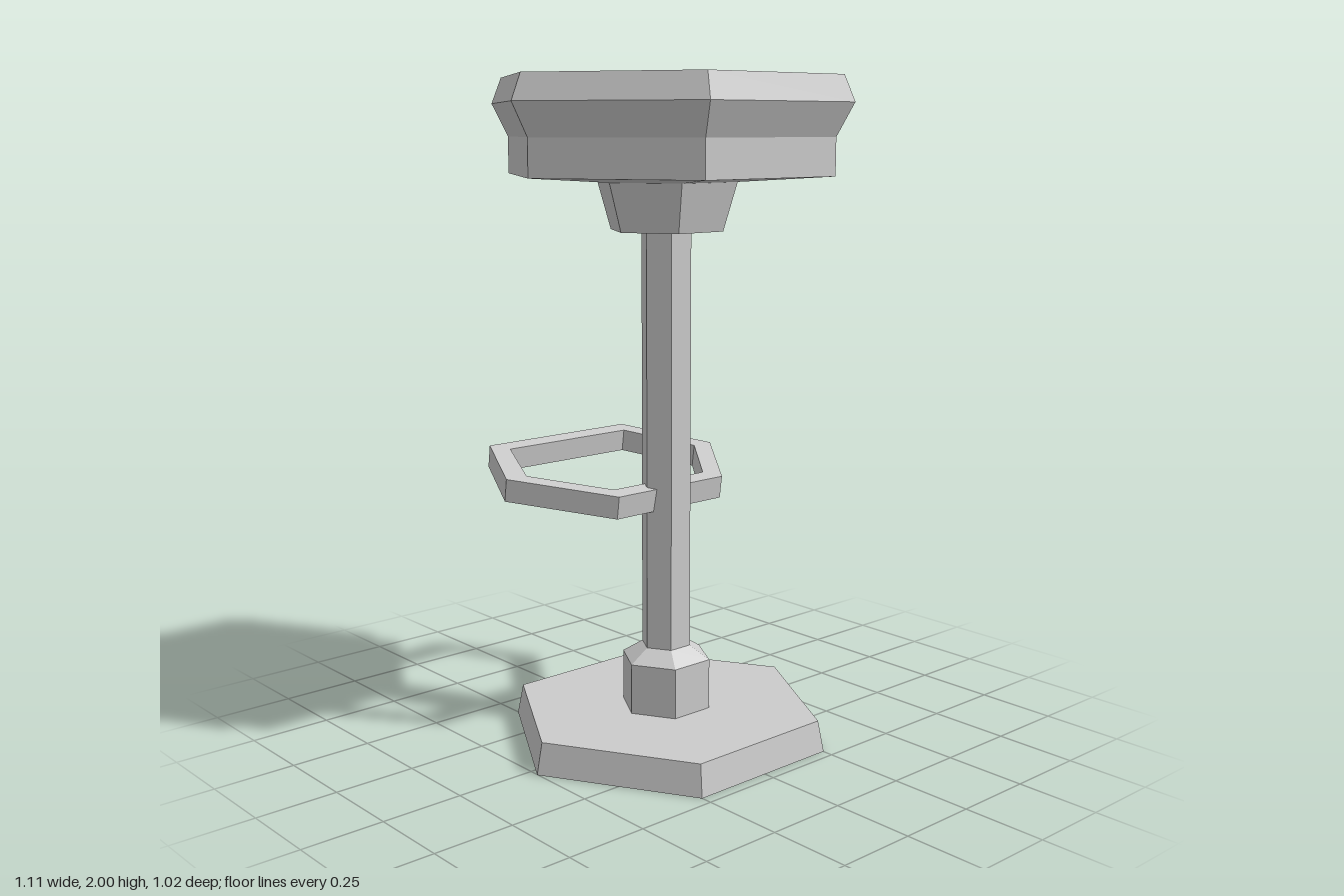
import * as THREE from 'three';

const material = new THREE.MeshStandardMaterial({ color: 0xcccccc, flatShading: true });
const AXIS_Z = 0.032; // the column stands slightly forward of the footrest

// Six-sided turned part from [radius, height] pairs, bottom to top, corners on +-x
function hexPart(name, profile) {
  const points = profile.map(([r, y]) => new THREE.Vector2(r, y));
  const geometry = new THREE.LatheGeometry(points, 6, Math.PI / 2);
  const mesh = new THREE.Mesh(geometry, material);
  mesh.name = name;
  mesh.position.z = AXIS_Z;
  return mesh;
}

// Symmetric six-cornered outline from its right half, [x, distance back]
function mirroredOutline(half) {
  const left = half.map(([x, d]) => [-x, d]).reverse();
  return [...half, ...left].map(([x, d]) => new THREE.Vector2(x, d));
}

// Tilted ring that passes through the column
function footrest() {
  const height = 0.07;
  const shape = new THREE.Shape(mirroredOutline([[0.208, 0], [0.415, 0.277], [0.272, 0.565]]));
  shape.holes.push(new THREE.Path(mirroredOutline([[0.18, 0.058], [0.342, 0.275], [0.234, 0.507]])));
  const geometry = new THREE.ExtrudeGeometry(shape, { depth: height, bevelEnabled: false });
  geometry.rotateX(-Math.PI / 2);
  const mesh = new THREE.Mesh(geometry, material);
  mesh.name = 'footrest';
  mesh.position.set(0, 0.72, 0.05);
  mesh.rotation.x = 0.135;
  return mesh;
}

export function createModel() {
  const stool = new THREE.Group();
  stool.name = 'barStool';
  stool.add(
    hexPart('basePlate', [[0, 0], [0.502, 0], [0.483, 0.095], [0, 0.095]]),
    hexPart('baseCollar', [[0.14, 0.09], [0.14, 0.25], [0.077, 0.29]]),
    hexPart('column', [[0.077, 0.09], [0.077, 1.57]]),
    hexPart('seatMount', [[0, 1.557], [0.174, 1.557], [0.217, 1.702]]),
    // Cushion with a slightly sunken rim below and a bevelled top
    hexPart('seat', [[0, 1.7], [0.217, 1.7], [0.502, 1.718], [0.502, 1.828],
      [0.554, 1.924], [0.522, 2], [0, 2]]),
    footrest()
  );
  return stool;
}
